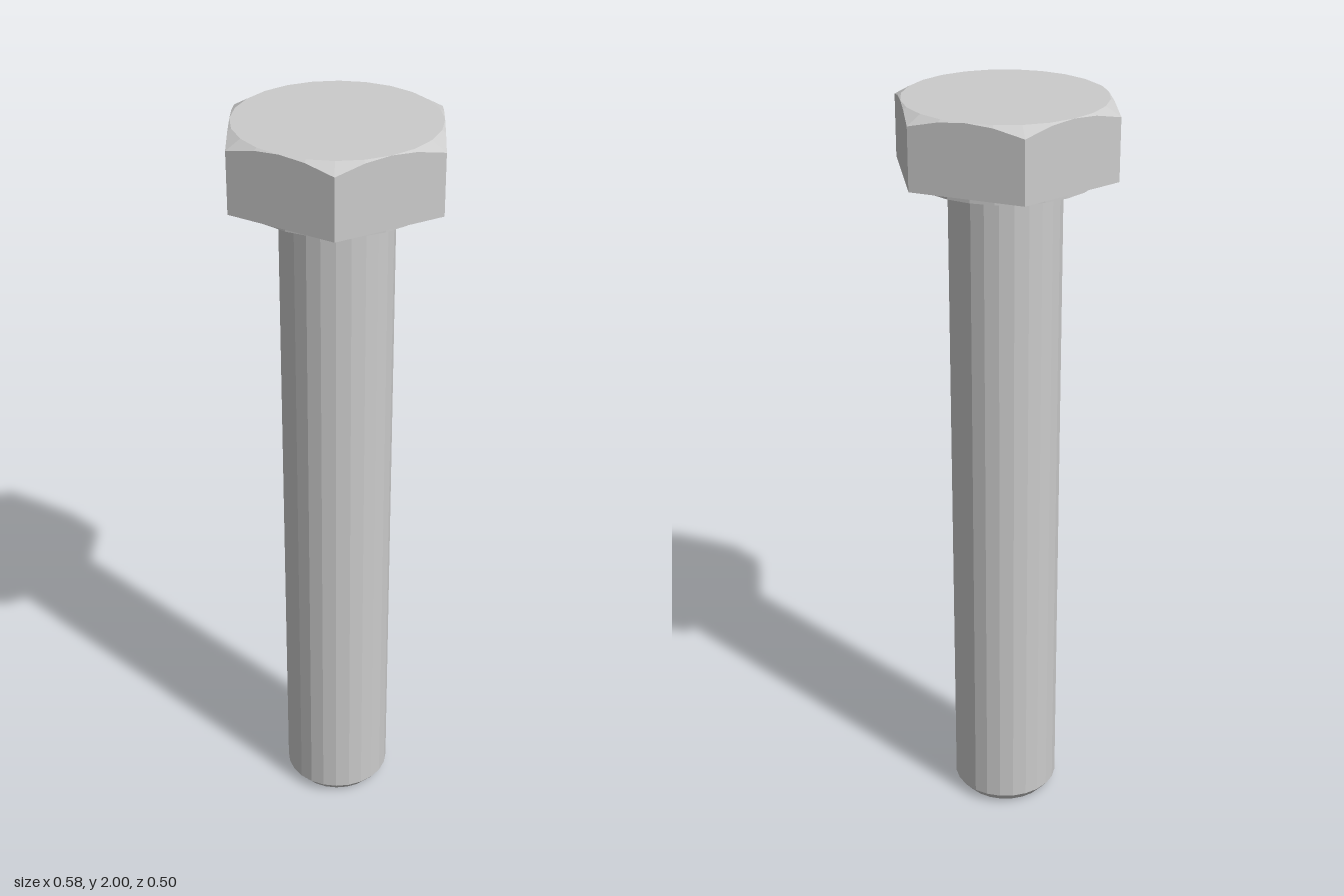
import * as THREE from 'three';

const SIDES = 24;
const material = new THREE.MeshStandardMaterial({ color: 0xcccccc, flatShading: true });

// Faceted solid of revolution from [radius, y] points listed bottom to top
function turned(name, profile, reshape) {
  const points = profile.map(([r, y]) => new THREE.Vector2(r, y));
  const lathe = new THREE.LatheGeometry(points, SIDES);
  if (reshape) reshape(lathe.attributes.position);
  const geometry = lathe.toNonIndexed();
  geometry.computeVertexNormals();
  const mesh = new THREE.Mesh(geometry, material);
  mesh.name = name;
  return mesh;
}

export function createModel() {
  const bolt = new THREE.Group();
  bolt.name = 'hexBolt';

  // Shank with a chamfered tip and a small fillet under the head
  const radius = 0.143, fillet = 0.017, seat = 1.804;
  const shank = [[0, 0], [0.12, 0], [radius, 0.028]];
  for (let i = 0; i <= 4; i++) {
    const a = (i / 4) * Math.PI / 2;
    shank.push([radius + fillet * (1 - Math.cos(a)), seat - fillet * (1 - Math.sin(a))]);
  }
  bolt.add(turned('shank', shank));

  // Thin round bearing face below the head
  bolt.add(turned('washerFace', [[0, seat], [0.232, seat], [0.232, 1.82]]));

  // Head: the outer rings are pushed out to a hexagon with corners on the x axis,
  // and the upper one drops along a 30 degree cone to form the curved chamfer
  const apothem = 0.2525, base = 1.82, top = 2;
  const headProfile = [[0, base], [apothem, base], [apothem, top], [apothem, top], [0, top]];
  bolt.add(turned('hexHead', headProfile, (pos) => {
    const rings = headProfile.length;
    for (let i = 0; i < pos.count; i++) {
      const ring = i % rings;
      if (ring !== 1 && ring !== 2) continue;
      const angle = (Math.floor(i / rings) / SIDES) * Math.PI * 2;
      const fromMid = angle - Math.round(angle / (Math.PI / 3)) * (Math.PI / 3);
      const r = apothem / Math.cos(fromMid);
      const y = ring === 1 ? base : top - (r - apothem) * Math.tan(Math.PI / 6);
      pos.setXYZ(i, r * Math.sin(angle), y, r * Math.cos(angle));
    }
  }));

  return bolt;
}
